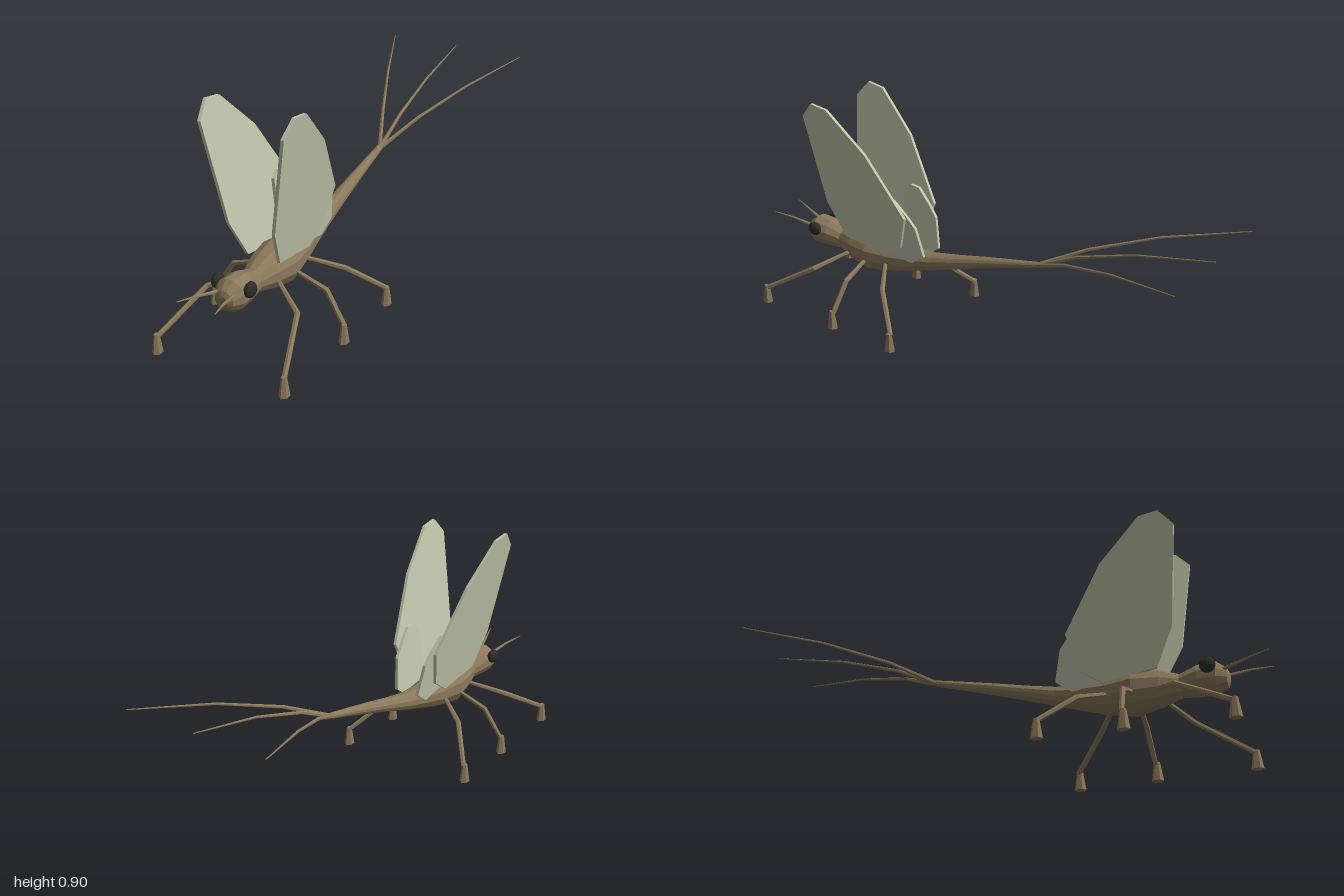
import * as THREE from 'three';

const mat = (name, color, extra = {}) => {
  const m = new THREE.MeshStandardMaterial({ color, flatShading: true, ...extra });
  m.name = name;
  return m;
};

// Faceted skin over rings along a path; each point is [x, y, z, radius].
function loft(points, sides, fixedDir) {
  const centres = points.map(p => new THREE.Vector3(p[0], p[1], p[2]));
  const up = new THREE.Vector3(0, 1, 0), pos = [], index = [];
  const last = centres.length - 1;
  centres.forEach((c, i) => {
    const dir = fixedDir ? fixedDir.clone()
      : centres[Math.min(i + 1, last)].clone().sub(centres[Math.max(i - 1, 0)]).normalize();
    const u = up.clone().cross(dir).normalize(), v = dir.clone().cross(u);
    for (let j = 0; j < sides; j++) {
      const a = (j + 0.5) / sides * Math.PI * 2, r = points[i][3];
      const p = c.clone().addScaledVector(u, r * Math.cos(a)).addScaledVector(v, r * Math.sin(a));
      pos.push(p.x, p.y, p.z);
    }
  });
  for (let i = 0; i < last; i++) {
    for (let j = 0; j < sides; j++) {
      const a = i * sides + j, b = i * sides + (j + 1) % sides;
      index.push(a, b, b + sides, a, b + sides, a + sides);
    }
  }
  // End caps
  const end = last * sides;
  for (let j = 1; j < sides - 1; j++) {
    index.push(0, j + 1, j, end, end + j, end + j + 1);
  }
  const g = new THREE.BufferGeometry();
  g.setAttribute('position', new THREE.Float32BufferAttribute(pos, 3));
  g.setIndex(index);
  g.computeVertexNormals();
  return g;
}

// Flat wing from a [z, y] outline, leaning outwards by x = x0 + slope * (y - y0).
function wingGeometry(outline, x0, y0, slope, side) {
  const shape = new THREE.Shape(outline.map(([z, y]) => new THREE.Vector2(-z, y)));
  const t = 0.013;
  const g = new THREE.ExtrudeGeometry(shape, { depth: t, bevelEnabled: false });
  g.translate(0, 0, -t / 2);
  g.rotateY(Math.PI / 2); // outline x becomes -z, depth becomes x
  const p = g.attributes.position;
  for (let i = 0; i < p.count; i++) {
    p.setX(i, p.getX(i) + side * (x0 + slope * (p.getY(i) - y0)));
  }
  g.computeVertexNormals();
  return g;
}

export function createModel() {
  const model = new THREE.Group();
  model.name = 'mayfly';
  const brown = mat('body brown', 0x8b795c);
  const dark = mat('eye dark', 0x2e2c24);
  const wingMat = mat('wing pale green', 0xc2c6ab, { side: THREE.DoubleSide });

  const add = (name, geometry, material) => {
    const m = new THREE.Mesh(geometry, material);
    m.name = name;
    model.add(m);
    return m;
  };

  // Abdomen and thorax, from the tail tip forwards
  const forward = new THREE.Vector3(0, 0, 1);
  add('body', loft([
    [0, 0.403, -0.30, 0.012], [0, 0.372, -0.17, 0.018], [0, 0.34, -0.04, 0.024],
    [0, 0.308, 0.08, 0.03], [0, 0.277, 0.2, 0.038], [0, 0.263, 0.28, 0.048],
    [0, 0.25, 0.39, 0.068], [0, 0.25, 0.5, 0.088], [0, 0.254, 0.6, 0.07],
    [0, 0.254, 0.67, 0.045],
  ], 12, forward), brown);

  // Head
  add('head', loft([
    [0, 0.254, 0.665, 0.044], [0, 0.266, 0.735, 0.06], [0, 0.267, 0.805, 0.062],
    [0, 0.263, 0.842, 0.038], [0, 0.262, 0.85, 0.019],
  ], 12, forward), brown);

  const foreWing = [[0.60, 0.31], [0.67, 0.457], [0.71, 0.84], [0.655, 0.902], [0.58, 0.89],
    [0.417, 0.73], [0.265, 0.48], [0.31, 0.335], [0.396, 0.278]];
  const hindWing = [[0.385, 0.275], [0.41, 0.36], [0.40, 0.52], [0.37, 0.545], [0.33, 0.54],
    [0.275, 0.485], [0.235, 0.436], [0.21, 0.313], [0.273, 0.268]];

  // Hip, knee, ankle for each leg of a side
  const legs = {
    frontLeg: [[0.05, 0.238, 0.59], [0.19, 0.185, 0.68], [0.262, 0.066, 0.885]],
    middleLeg: [[0.05, 0.238, 0.50], [0.2, 0.185, 0.497], [0.277, 0.066, 0.507]],
    hindLeg: [[0.05, 0.238, 0.41], [0.178, 0.185, 0.325], [0.287, 0.066, 0.2]],
  };

  for (const [label, s] of [['left', 1], ['right', -1]]) {
    add(`${label}ForeWing`, wingGeometry(foreWing, 0.07, 0.33, 0.184, s), wingMat);
    add(`${label}HindWing`, wingGeometry(hindWing, 0.051, 0.32, 0.142, s), wingMat);

    // Eye
    const eye = add(`${label}Eye`, new THREE.SphereGeometry(0.031, 10, 7), dark);
    eye.scale.set(0.65, 0.95, 1);
    eye.position.set(s * 0.067, 0.295, 0.78);

    // Antenna
    add(`${label}Antenna`, loft([
      [s * 0.03, 0.283, 0.82, 0.008], [s * 0.053, 0.307, 0.92, 0.005], [s * 0.077, 0.32, 1, 0.002],
    ], 6), brown);

    // Legs with flared feet
    for (const [name, joints] of Object.entries(legs)) {
      const radii = [0.008, 0.011, 0.01];
      add(`${label}_${name}`, loft(joints.map(([x, y, z], i) => [s * x, y, z, radii[i]]), 6), brown);
      const [x, , z] = joints[2];
      const foot = add(`${label}_${name}Foot`, new THREE.CylinderGeometry(0.012, 0.024, 0.075, 6), brown);
      foot.scale.x = 0.8;
      foot.position.set(s * (x + 0.002), 0.0375, z + 0.005);
    }
  }

  // Three tail filaments
  for (const [name, s] of [['leftTail', 1], ['middleTail', 0], ['rightTail', -1]]) {
    add(name, loft([
      [s * 0.006, 0.4, -0.29, 0.009], [s * 0.082, 0.48, -0.46, 0.007],
      [s * 0.185, 0.555, -0.7, 0.005], [s * 0.305, 0.614, -1, 0.002],
    ], 6), brown);
  }
  return model;
}
